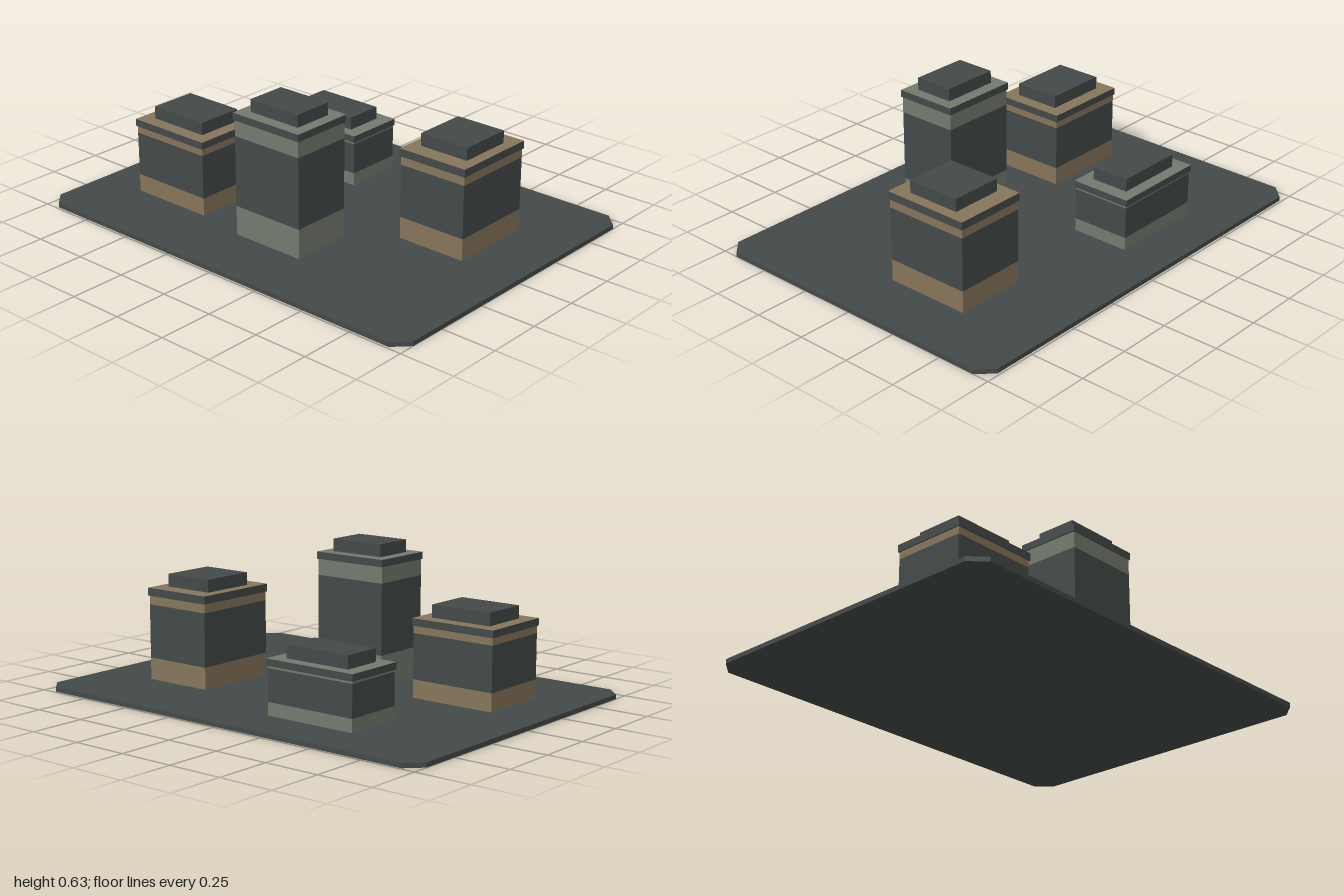
import * as THREE from 'three';

function mat(name, color) {
  const m = new THREE.MeshStandardMaterial({ color });
  m.name = name;
  return m;
}

export function createModel() {
  const model = new THREE.Group();
  model.name = 'cityBlock';
  const dark = mat('charcoal', 0x434a49);
  const tan = mat('tan', 0x87755a);
  const grey = mat('sageGrey', 0x747a6f);

  // Box given by centre, footprint and height range
  function slab(parent, name, w, d, y0, y1, material) {
    const mesh = new THREE.Mesh(new THREE.BoxGeometry(w, y1 - y0, d), material);
    mesh.position.y = (y0 + y1) / 2;
    mesh.name = name;
    parent.add(mesh);
  }

  // Ground plate with cut corners
  const X = 1, Z = 0.74, C = 0.065, H = 0.02;
  const outline = new THREE.Shape([
    [-X + C, -Z], [X - C, -Z], [X, -Z + C], [X, Z - C],
    [X - C, Z], [-X + C, Z], [-X, Z - C], [-X, -Z + C],
  ].map(([x, y]) => new THREE.Vector2(x, y)));
  const plate = new THREE.Mesh(new THREE.ExtrudeGeometry(outline, { depth: H, bevelEnabled: false }), dark);
  plate.rotation.x = -Math.PI / 2;
  plate.name = 'groundPlate';
  model.add(plate);

  // Buildings: centre, footprint, rooftop box footprint, and band heights
  // (plinth top, windows top, cornice top, rim top, rooftop box top)
  const buildings = [
    { name: 'leftBuilding', at: [-0.568, 0.247], size: [0.398, 0.327], top: [0.29, 0.215], y: [0.1, 0.298, 0.33, 0.362, 0.418], wall: tan },
    { name: 'tower', at: [0.043, 0.31], size: [0.352, 0.28], top: [0.26, 0.182], y: [0.152, 0.468, 0.54, 0.572, 0.628], wall: grey },
    { name: 'rightBuilding', at: [0.564, -0.173], size: [0.326, 0.392], top: [0.238, 0.248], y: [0.117, 0.354, 0.393, 0.428, 0.484], wall: tan },
    { name: 'backBuilding', at: [-0.314, -0.393], size: [0.436, 0.27], top: [0.318, 0.175], y: [0.077, 0.217, 0.227, 0.257, 0.314], wall: grey },
  ];
  for (const { name, at, size: [w, d], top, y, wall } of buildings) {
    const g = new THREE.Group();
    g.name = name;
    g.position.set(at[0], 0, at[1]);
    slab(g, 'plinth', w, d, H, y[0], wall);
    slab(g, 'windowBand', w, d, y[0], y[1], dark);
    slab(g, 'cornice', w, d, y[1], y[2], wall);
    // Dark-edged rim with a wall-coloured roof surface
    slab(g, 'roofRim', w + 0.01, d + 0.01, y[2], y[3], [dark, dark, wall, dark, dark, dark]);
    slab(g, 'rooftopBox', top[0], top[1], y[3], y[4], dark);
    model.add(g);
  }
  return model;
}
